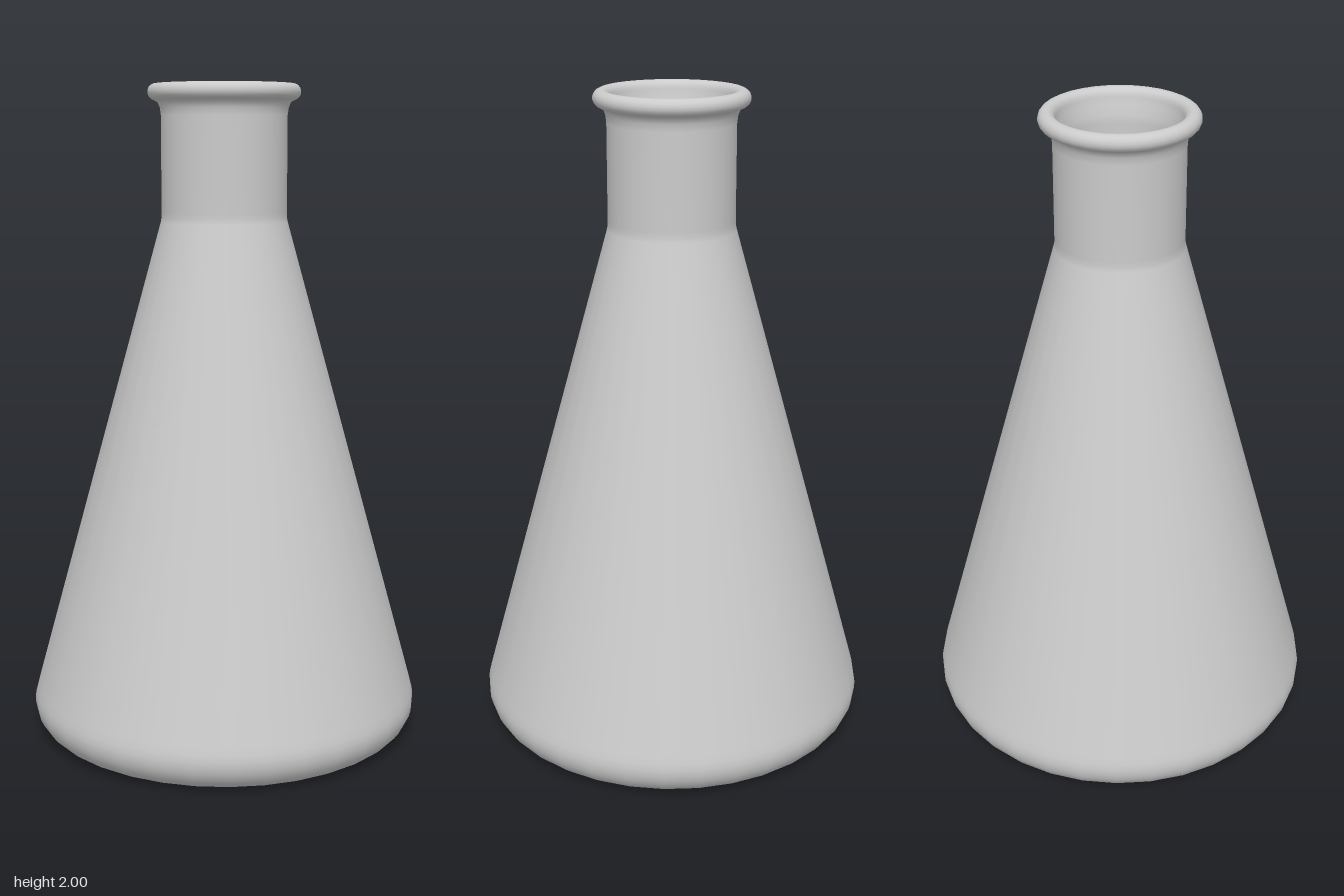
import * as THREE from 'three';

const SIDES = 34;
const material = new THREE.MeshStandardMaterial({ color: 0xcccccc });
const markMaterial = new THREE.MeshStandardMaterial({ color: 0xcccccc, side: THREE.DoubleSide });

// Points along an arc of the profile, angles in degrees
function arc(cx, cy, r, from, to, steps) {
  return Array.from({ length: steps + 1 }, (_, i) => {
    const a = THREE.MathUtils.degToRad(from + ((to - from) * i) / steps);
    return [cx + r * Math.cos(a), cy + r * Math.sin(a)];
  });
}

// Outer radius of the cone at height y
const coneRadius = (y) => THREE.MathUtils.mapLinear(y, 0.126, 1.6, 0.597, 0.19);

// Thick-walled body: underside, cone, neck, rolled lip, then back down inside
function buildGlass() {
  const profile = [
    [0, 0], [0.49, 0],
    ...arc(0.5, 0.1, 0.1, -90, 15, 9),
    [coneRadius(0.15), 0.15], [coneRadius(1.59), 1.59],
    [0.19, 1.605], [0.19, 1.62], [0.19, 1.905],
    [0.193, 1.928], [0.2, 1.945],
    ...arc(0.205, 1.975, 0.025, -75, 180, 12),
    [0.175, 1.95], [0.167, 1.925], [0.165, 1.9],
    [0.165, 1.61], [coneRadius(1.58) - 0.026, 1.58],
    [coneRadius(0.15) - 0.026, 0.15],
    ...arc(0.49, 0.105, 0.078, 15, -90, 6),
    [0.48, 0.027], [0, 0.027],
  ].map(([x, y]) => new THREE.Vector2(x, y));
  const glass = new THREE.Mesh(new THREE.LatheGeometry(profile, SIDES), material);
  glass.name = 'flaskBody';
  return glass;
}

// Thin band lying on the front of the cone, ending at x = 0
function buildMark(y, length, name) {
  const h = 0.006;
  const lift = 0.002;
  const r = coneRadius(y);
  const angle = Math.asin(length / r);
  const geometry = new THREE.CylinderGeometry(
    coneRadius(y + h / 2) + lift, coneRadius(y - h / 2) + lift, h, 4, 1, true, -angle, angle);
  const mark = new THREE.Mesh(geometry, markMaterial);
  mark.position.y = y;
  mark.name = name;
  return mark;
}

export function createModel() {
  const flask = new THREE.Group();
  flask.name = 'conicalFlask';
  flask.add(buildGlass());

  // Graduation scale: long marks with a short one between each pair
  const scale = new THREE.Group();
  scale.name = 'graduationScale';
  const heights = [0.18, 0.255, 0.345, 0.435, 0.545, 0.665, 0.81, 1.0, 1.27];
  heights.forEach((y, i) => {
    scale.add(buildMark(y, 0.15 - 0.005 * i, 'longMark'));
    if (i < heights.length - 1) {
      scale.add(buildMark((y + heights[i + 1]) / 2 - 0.003, 0.07, 'shortMark'));
    }
  });
  flask.add(scale);
  return flask;
}
